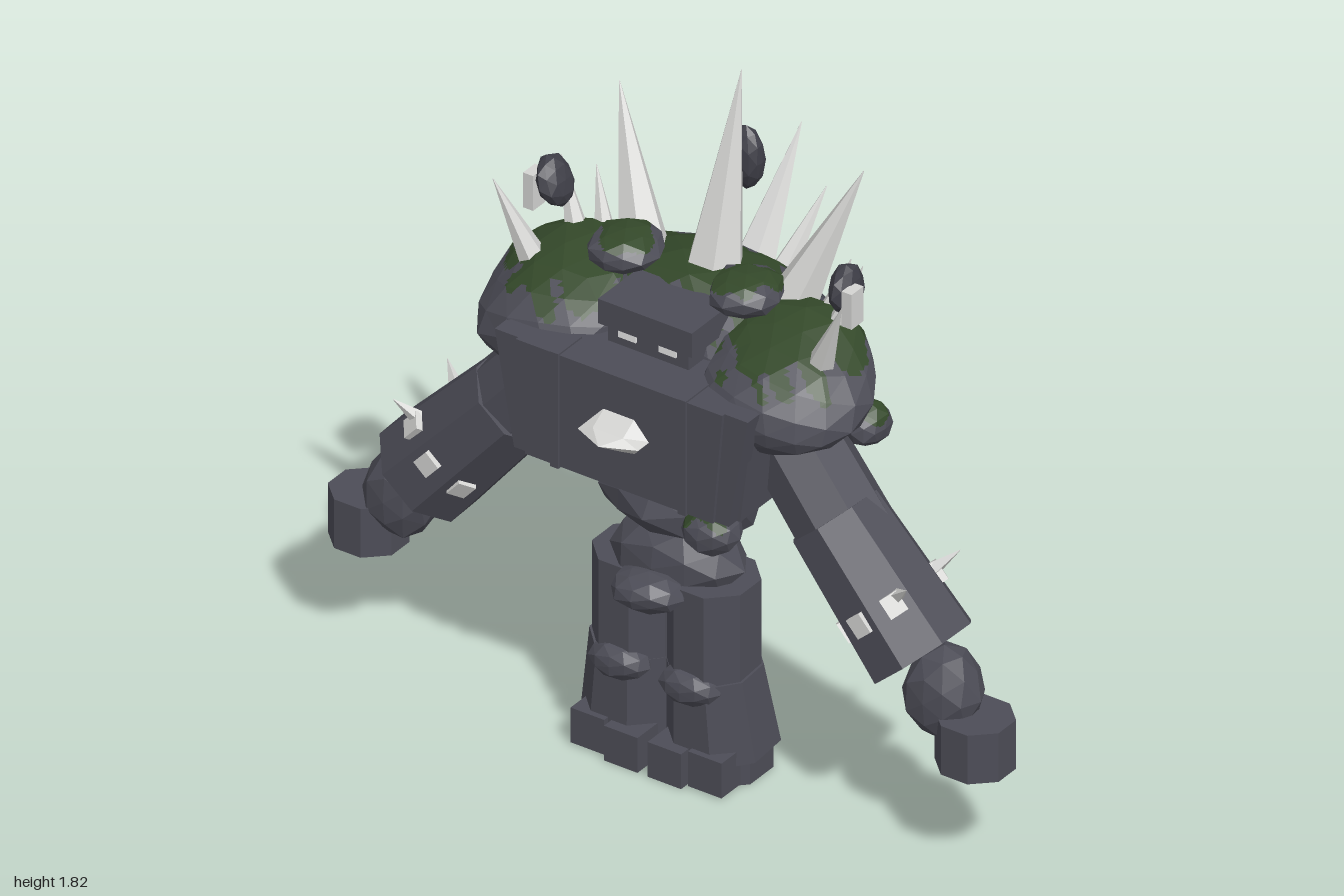
import * as THREE from 'three';

const material = (name, color) => {
  const m = new THREE.MeshStandardMaterial({ color });
  m.name = name;
  return m;
};
const V = (a) => new THREE.Vector3(...a);

export function createModel() {
  const root = new THREE.Group();
  root.name = 'rockGolem';
  const stone = material('stone', 0x4d4d57);
  const darkStone = material('dark stone', 0x3e3e47);
  const moss = material('moss', 0x34492a);
  const crystal = material('crystal', 0xd4d4d2);
  const glow = material('eye white', 0xffffff);

  // Faceted mesh: unshared corners give flat normals
  const add = (name, geo, mat) => {
    const g = geo.index ? geo.toNonIndexed() : geo;
    g.computeVertexNormals();
    const mesh = new THREE.Mesh(g, mat);
    mesh.name = name;
    root.add(mesh);
    return mesh;
  };

  // Box whose top differs in width
  const block = (name, [x, y, z], [w, h, d], mat = stone, topW = 1) => {
    const g = new THREE.BoxGeometry(w, h, d);
    const p = g.attributes.position;
    for (let i = 0; i < p.count; i++) {
      if (p.getY(i) > 0) p.setX(i, p.getX(i) * topW);
    }
    g.translate(x, y, z);
    return add(name, g, mat);
  };

  // Tapered prism running from point a to point b
  const prism = (name, a, b, ra, rb, sides, mat = stone) => {
    const dir = V(b).sub(V(a));
    const g = new THREE.CylinderGeometry(rb, ra, dir.length(), sides);
    g.rotateY(Math.PI / sides);
    g.translate(0, dir.length() / 2, 0);
    g.applyQuaternion(new THREE.Quaternion().setFromUnitVectors(new THREE.Vector3(0, 1, 0), dir.normalize()));
    g.translate(...a);
    return add(name, g, mat);
  };
  const spike = (name, a, b, r, sides = 6) => prism(name, a, b, r, 0.001, sides, crystal);

  // Lumpy boulder; with a moss level, its facets are divided and the upper ones painted
  const rock = (name, pos, size, { level = null, seed = 1, detail = 1, rot = [0, 0, 0], mat = stone } = {}) => {
    const g = new THREE.IcosahedronGeometry(1, detail);
    const p = g.attributes.position;
    const v = new THREE.Vector3();
    for (let i = 0; i < p.count; i++) {
      v.fromBufferAttribute(p, i);
      const n = Math.sin(v.x * 4.1 + seed) * Math.sin(v.y * 3.7 + seed * 2) + Math.sin(v.z * 4.6 + v.x * 2 + seed * 3);
      v.multiplyScalar(1 + 0.05 * n);
      p.setXYZ(i, v.x, v.y, v.z);
    }
    g.scale(...size);
    g.rotateX(rot[0]).rotateY(rot[1]).rotateZ(rot[2]);
    g.translate(...pos);
    if (level === null) return add(name, g, mat);
    const lists = [[], []];
    const N = 5;
    for (let f = 0; f < p.count; f += 3) {
      const [a, b, c] = [0, 1, 2].map((k) => new THREE.Vector3().fromBufferAttribute(p, f + k));
      const at = (i, j) => a.clone().addScaledVector(b.clone().sub(a), i / N).addScaledVector(c.clone().sub(a), j / N);
      const tri = (q) => {
        const m = q[0].clone().add(q[1]).add(q[2]).divideScalar(3);
        const patch = Math.sin(m.x * 34 + seed) * Math.sin(m.z * 39 + 1) + 0.6 * Math.sin(m.x * 61 - m.z * 47 + m.y * 40);
        const mossy = (m.y - pos[1]) / size[1] + 0.27 * patch > level;
        q.forEach((u) => lists[mossy ? 1 : 0].push(u.x, u.y, u.z));
      };
      for (let i = 0; i < N; i++) for (let j = 0; j < N - i; j++) {
        tri([at(i, j), at(i + 1, j), at(i, j + 1)]);
        if (i + j < N - 1) tri([at(i + 1, j), at(i + 1, j + 1), at(i, j + 1)]);
      }
    }
    const out = new THREE.BufferGeometry();
    out.setAttribute('position', new THREE.Float32BufferAttribute(lists[0].concat(lists[1]), 3));
    out.addGroup(0, lists[0].length / 3, 0);
    out.addGroup(lists[0].length / 3, lists[1].length / 3, 1);
    return add(name, out, [mat, moss]);
  };

  // Torso: mossy hump, belly boulders and waist
  rock('backHump', [0, 1.12, -0.05], [0.42, 0.22, 0.25], { level: 0.62, seed: 2, detail: 2 });
  rock('lowerBack', [0, 0.99, -0.06], [0.33, 0.16, 0.2], { seed: 5 });
  rock('belly', [0, 0.92, 0.08], [0.3, 0.13, 0.19], { seed: 3 });
  rock('waist', [0, 0.74, 0.09], [0.22, 0.1, 0.15], { seed: 7 });
  rock('pelvis', [0, 0.58, 0.09], [0.18, 0.11, 0.13], { seed: 4 });
  rock('groinRock', [0, 0.53, 0.22], [0.1, 0.05, 0.08], { seed: 6 });
  rock('hipBoulder', [0.17, 0.745, 0.19], [0.08, 0.06, 0.07], { level: 0.5, seed: 8 });

  // Chest armour
  block('chest', [0, 1.04, 0.09], [0.66, 0.32, 0.42], stone, 1.12);
  block('chestSidePlates', [0, 1.04, 0.31], [0.64, 0.32, 0.05], stone, 1.18);
  block('chestPlate', [0, 1.04, 0.3], [0.56, 0.32, 0.09], stone, 1.1);
  for (const s of [-1, 1]) block('chestRib', [s * 0.19, 1.04, 0.3], [0.025, 0.33, 0.1]);

  // Chest crystal: broad from above, sharp from the side
  const base = prism('chestCrystalBase', [0, 0, 0], [0, 0, 0.05], 0.09, 0.09, 6, crystal);
  const tip = spike('chestCrystalTip', [0, 0, 0.05], [0, 0, 0.09], 0.09);
  for (const m of [base, tip]) {
    const p = m.geometry.attributes.position;
    for (let i = 0; i < p.count; i++) p.setY(i, p.getY(i) * (p.getZ(i) > 0.02 ? 0.25 : 0.65));
    m.geometry.computeVertexNormals();
    m.position.set(0, 1.045, 0.342);
  }

  // Head sunk between the shoulders
  block('head', [0, 1.22, 0.13], [0.24, 0.12, 0.18]);
  block('brow', [0, 1.285, 0.15], [0.28, 0.07, 0.17]);
  for (const s of [-1, 1]) block('eye', [s * 0.06, 1.237, 0.222], [0.052, 0.024, 0.008], glow);

  for (const s of [-1, 1]) {
    const at = (x, y, z) => [s * x, y, z];

    // Shoulders, sloping down to the front and outside
    rock('shoulder', at(0.335, 1.19, 0.1), [0.21, 0.115, 0.225],
      { level: 0.5, seed: 3 + s, detail: 2, rot: [0.42, 0, -s * 0.15] });
    rock('shoulderSideRock', at(0.51, 1.085, 0.015), [0.055, 0.06, 0.07], { level: 0.45, seed: 9 });
    rock('collarRock', at(0.18, 1.37, 0.06), [0.095, 0.05, 0.1], { level: 0.5, seed: 11 + s });
    rock('floatingRock', at(0.435, 1.435, 0), [0.038, 0.07, 0.06],
      { mat: darkStone, seed: 5, rot: [0, 0, s > 0 ? 0 : 0.35] });
    block('floatingCrystal', at(0.475, 1.415, 0.03), [0.03, 0.1, 0.05], crystal);

    // Shoulder spikes
    spike('shoulderSpike', at(0.41, 1.22, 0.09), at(0.52, 1.48, 0.14), 0.045);
    spike('shoulderSpike', at(0.37, 1.24, -0.02), at(0.45, 1.48, -0.05), 0.04);
    spike('shoulderSpike', at(0.31, 1.22, -0.05), at(0.38, 1.45, -0.1), 0.04);

    // Arms
    prism('upperArm', at(0.3, 1.06, 0.08), at(0.53, 0.79, 0.1), 0.12, 0.125, 8);
    prism('forearm', at(0.472, 0.851, 0.1), at(0.738, 0.553, 0.105), 0.13, 0.15, 8);
    rock('wrist', at(0.805, 0.475, 0.11), [0.1, 0.125, 0.1], { seed: 4 });
    const fist = new THREE.CylinderGeometry(0.1, 0.1, 0.14, 8);
    fist.rotateY(Math.PI / 8).scale(1.03, 1, 0.98).translate(s * 0.905, 0.37, 0.12);
    add('fist', fist, stone);

    // Square crystals set around the forearm: three in front, three behind
    const axis = V(at(0.665, -0.745, 0)).normalize();
    const outward = V(at(0.745, 0.665, 0)).normalize();
    for (const side of [1, -1]) {
      for (const deg of [45, 90, 135]) {
        const a = deg * Math.PI / 180;
        const normal = outward.clone().multiplyScalar(Math.cos(a)).add(new THREE.Vector3(0, 0, side * Math.sin(a)));
        const g = new THREE.BoxGeometry(0.055, 0.03, 0.05);
        g.applyMatrix4(new THREE.Matrix4().makeBasis(axis, normal, axis.clone().cross(normal)));
        const c = V(at(0.645, 0.665, 0.103)).addScaledVector(normal, 0.13);
        g.translate(c.x, c.y, c.z);
        add('forearmCrystal', g, crystal);
      }
      spike('forearmSpike', at(0.71, 0.74, 0.1 + side * 0.08), at(0.765, 0.795, 0.1 + side * 0.115), 0.022, 4);
    }

    // Legs
    prism('thigh', at(0.112, 0.28, 0.1), at(0.112, 0.55, 0.1), 0.118, 0.118, 8);
    prism('shin', at(0.125, 0.075, 0.08), at(0.115, 0.3, 0.1), 0.145, 0.122, 8);
    rock('knee', at(0.105, 0.275, 0.19), [0.085, 0.05, 0.055], { seed: 2 });
    prism('foot', at(0.12, 0.005, 0.08), at(0.12, 0.1, 0.08), 0.13, 0.13, 8);
    block('toe', at(0.065, 0.055, 0.2), [0.1, 0.1, 0.09]);
    block('toe', at(0.175, 0.06, 0.19), [0.1, 0.1, 0.08]);

    // Large side spikes
    spike('sideSpike', at(0.2, 1.22, -0.06), at(0.365, 1.66, -0.175), 0.078);
  }

  // Spikes along the back
  spike('centreSpike', [0, 1.22, -0.04], [0, 1.82, -0.175], 0.09);
  spike('backSpike', [0, 1.19, -0.2], [0, 1.54, -0.43], 0.065);
  spike('backSpike', [-0.09, 1.18, -0.18], [-0.15, 1.42, -0.35], 0.045);
  spike('backSpike', [0.07, 1.18, -0.2], [0.11, 1.42, -0.38], 0.045);
  spike('backSpike', [-0.06, 1.25, -0.08], [-0.065, 1.52, -0.15], 0.04);
  rock('floatingBackRock', [0.01, 1.57, -0.18], [0.052, 0.09, 0.034], { mat: darkStone, seed: 3 });

  return root;
}
